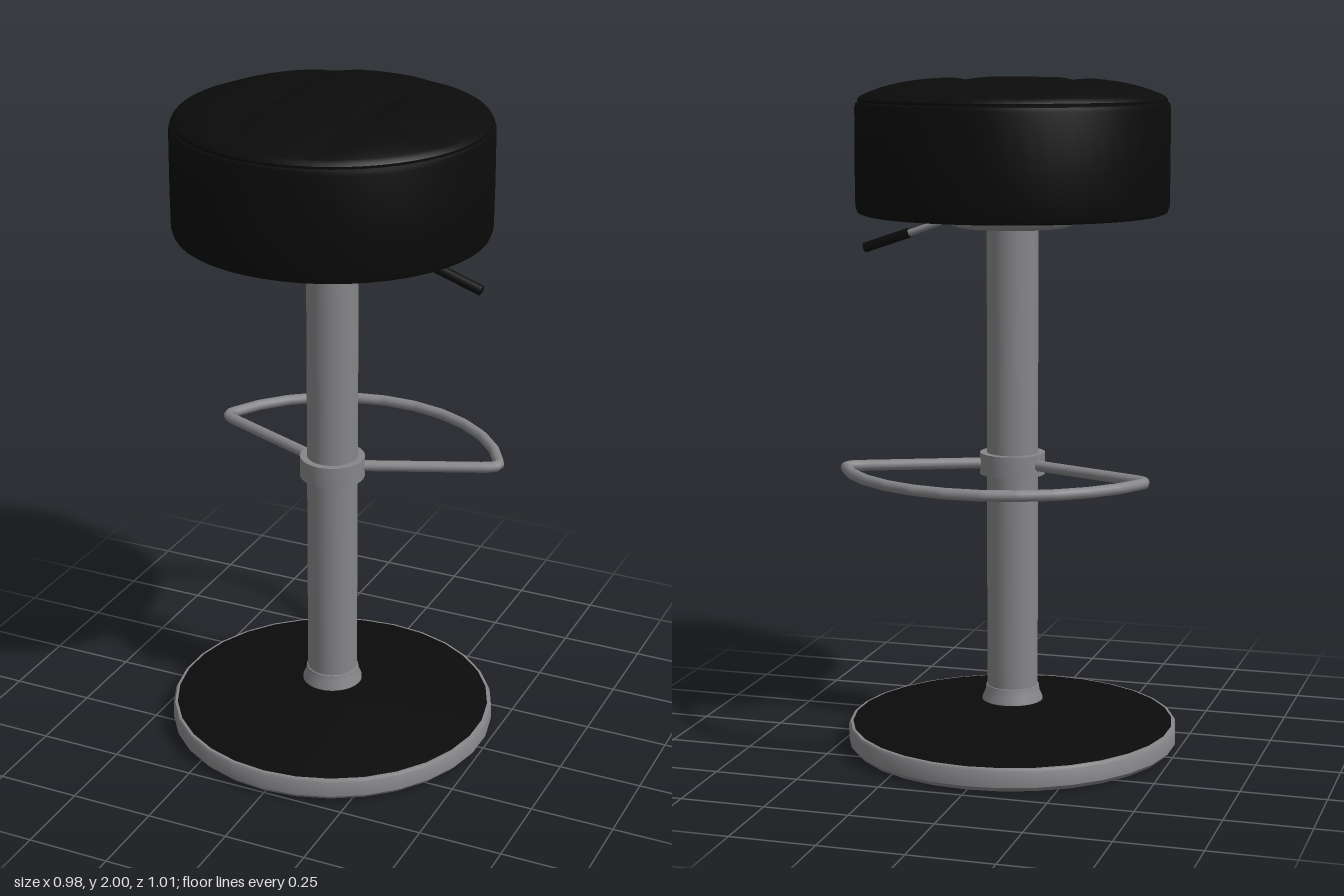
import * as THREE from 'three';
import { toCreasedNormals } from 'three/addons/utils/BufferGeometryUtils.js';

const AXIS_Z = 0.015; // the column stands slightly forward of the centre

export function createModel() {
  const stool = new THREE.Group();
  stool.name = 'barStool';

  const metal = new THREE.MeshStandardMaterial({ color: 0x868689 });
  metal.name = 'brushed metal';
  const black = new THREE.MeshStandardMaterial({ color: 0x0b0b0b });
  black.name = 'black';

  const add = (name, geometry, material, z = 0) => {
    const mesh = new THREE.Mesh(geometry, material);
    mesh.name = name;
    mesh.position.z = z;
    stool.add(mesh);
    return mesh;
  };
  const lathe = (points, segments) =>
    new THREE.LatheGeometry(points.map(([r, y]) => new THREE.Vector2(r, y)), segments);
  const turned = (name, points, material, segments = 30) =>
    add(name, toCreasedNormals(lathe(points, segments), 0.6), material, AXIS_Z);

  // Base: metal rim and underside with a shallow black cone on top
  turned('baseRim', [[0, 0], [0.46, 0], [0.482, 0.006], [0.495, 0.02], [0.495, 0.066],
    [0.49, 0.074], [0.478, 0.075]], metal);
  turned('baseCover', [[0.482, 0.075], [0.085, 0.141], [0, 0.141]], black);

  // Column with a flared foot
  turned('columnFoot', [[0.092, 0.135], [0.09, 0.148], [0.082, 0.165], [0.079, 0.185], [0.07, 0.188]], metal);
  turned('column', [[0.076, 0.13], [0.076, 1.58]], metal);

  // Footrest collar and looped tube
  turned('footrestCollar', [[0.07, 0.833], [0.097, 0.833], [0.097, 0.897], [0.07, 0.897]], metal);
  const path = [];
  const arcEnd = THREE.MathUtils.degToRad(66);
  for (let i = 0; i <= 11; i++) {
    const a = -arcEnd + (2 * arcEnd * i) / 11;
    path.push(new THREE.Vector3(0.491 * Math.sin(a), 0.865, -0.491 * Math.cos(a)));
  }
  const side = (s, x, z) => new THREE.Vector3(s * x, 0.865, z);
  const loop = new THREE.CurvePath();
  const link = (a, b) => loop.add(new THREE.LineCurve3(a, b));
  const points = [side(-1, 0.07, -0.012), side(-1, 0.415, -0.157), side(-1, 0.437, -0.169),
    side(-1, 0.448, -0.182), ...path, side(1, 0.448, -0.182), side(1, 0.437, -0.169),
    side(1, 0.415, -0.157), side(1, 0.07, -0.012)];
  points.slice(1).forEach((p, i) => link(points[i], p));
  add('footrest', new THREE.TubeGeometry(loop, 120, 0.0165, 12, false), metal);

  // Mounting plate below the seat
  turned('seatPlate', [[0, 1.568], [0.165, 1.568], [0.185, 1.577], [0.197, 1.595], [0.197, 1.615]], metal);

  // Height lever sloping down to the model's left
  const rod = (name, from, to, radius, material) => {
    const a = new THREE.Vector3(...from, 0), b = new THREE.Vector3(...to, 0);
    const dir = b.clone().sub(a);
    const mesh = add(name, new THREE.CylinderGeometry(radius, radius, dir.length(), 12), material);
    mesh.position.copy(a.add(b).multiplyScalar(0.5)).setZ(AXIS_Z);
    mesh.quaternion.setFromUnitVectors(new THREE.Vector3(0, 1, 0), dir.normalize());
  };
  rod('leverRod', [0.1, 1.618], [0.34, 1.533], 0.01, metal);
  rod('leverGrip', [0.32, 1.541], [0.46, 1.493], 0.015, black);

  // Padded seat drum
  turned('seatDrum', [[0, 1.607], [0.44, 1.607], [0.453, 1.612], [0.459, 1.628], [0.46, 1.75],
    [0.459, 1.915], [0.456, 1.927], [0.447, 1.932]], black, 48);

  // Tufted cushion: domed disc pressed in along two grooves each way
  const rings = [[0.449, 1.928], [0.45, 1.938], [0.443, 1.946]];
  for (let i = 0; i <= 24; i++) rings.push([0.432 * (1 - i / 24), 1.95]);
  const cushion = lathe(rings, 60);
  const pos = cushion.attributes.position;
  const groove = (t) => Math.exp(-(((Math.abs(t) - 0.15) / 0.035) ** 2));
  for (let i = 0; i < pos.count; i++) {
    if (pos.getY(i) < 1.949) continue;
    const x = pos.getX(i), z = pos.getZ(i);
    const dome = 1 - (Math.hypot(x, z) / 0.445) ** 4;
    const press = 0.016 * Math.max(groove(x), groove(z));
    pos.setY(i, 1.946 + dome * (0.054 - press));
  }
  add('seatCushion', toCreasedNormals(cushion, 0.8), black, AXIS_Z);

  return stool;
}
